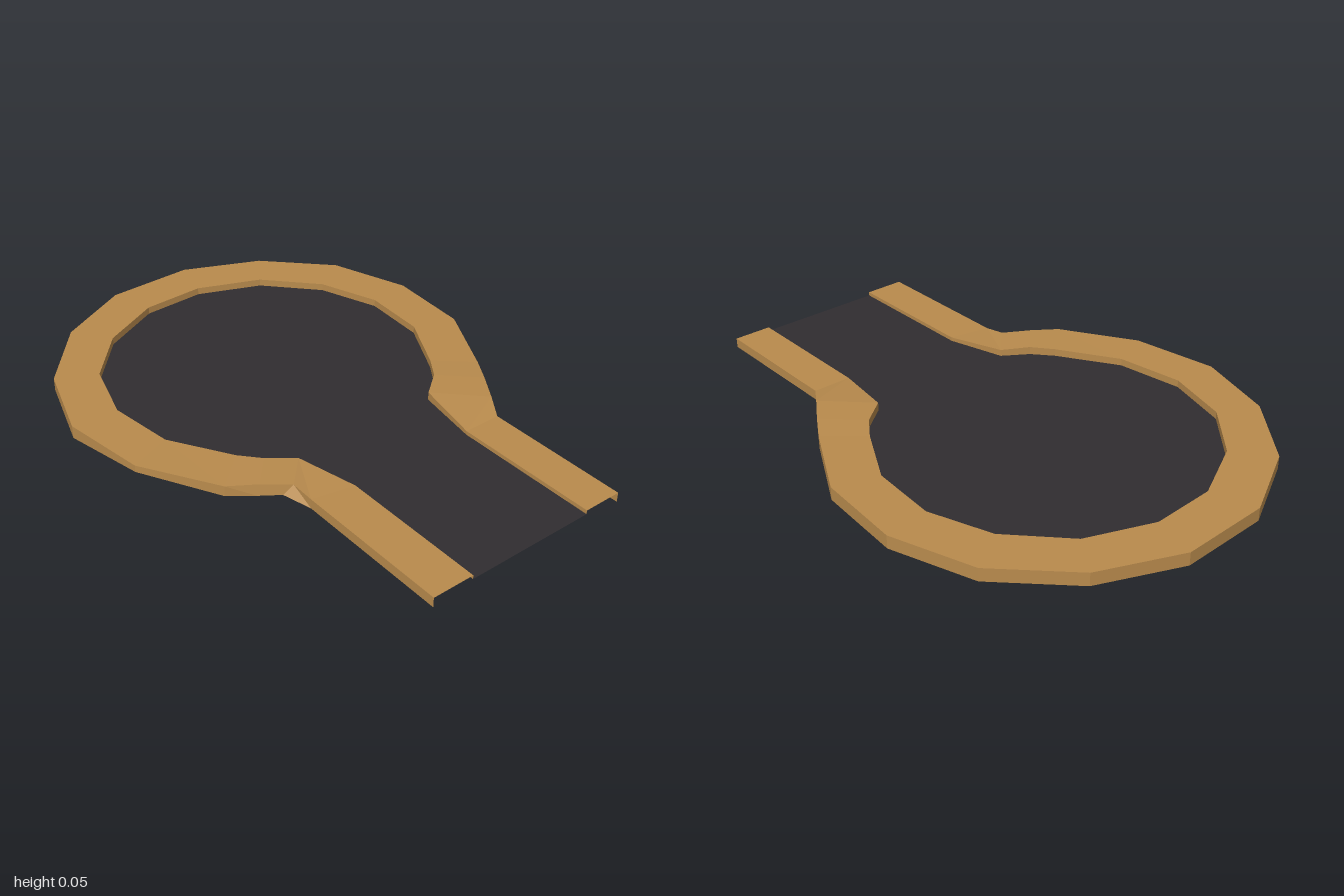
import * as THREE from 'three';

const ROAD_Y = 0.021;

// Stations along the pavement, from the back of the stem round the bulb to the front:
// [outer x, outer z, inner x, inner z, top y]
const STATIONS = [
  [1, -0.41, 1, -0.27, 0.035], [0.48, -0.41, 0.48, -0.27, 0.035],
  [0.4, -0.46, 0.25, -0.31, 0.05], [0.3, -0.525, 0.18, -0.4, 0.05],
  [0.21, -0.58, 0.1, -0.455, 0.047], [-0.06, -0.72, -0.11, -0.565, 0.047],
  [-0.37, -0.74, -0.35, -0.58, 0.047], [-0.66, -0.64, -0.57, -0.5, 0.047],
  [-0.88, -0.42, -0.75, -0.33, 0.047], [-1, -0.14, -0.84, -0.1, 0.047],
  [-0.99, 0.18, -0.83, 0.13, 0.047], [-0.85, 0.45, -0.72, 0.35, 0.047],
  [-0.61, 0.65, -0.54, 0.51, 0.047], [-0.32, 0.74, -0.31, 0.575, 0.047],
  [-0.01, 0.69, -0.07, 0.54, 0.047], [0.25, 0.53, 0.14, 0.41, 0.048],
  [0.31, 0.44, 0.21, 0.35, 0.05], [0.37, 0.355, 0.27, 0.26, 0.045],
  [0.45, 0.35, 0.48, 0.2, 0.035], [1, 0.35, 1, 0.2, 0.035],
];

// Where the foot of the outer wall leaves the ground: station -> [x, y, z]
const RAISED_FEET = {
  14: [-0.01, 0.022, 0.69],
  15: [0.25, 0.01, 0.53],
  16: [0.31, 0.01, 0.45],
  17: [0.355, 0.01, 0.385],
};

// Open strip joining two rows of points
function strip(rowA, rowB) {
  const pos = [];
  for (let i = 0; i < rowA.length - 1; i++) {
    const [a, b, c, d] = [rowA[i], rowA[i + 1], rowB[i], rowB[i + 1]];
    pos.push(...a, ...b, ...c, ...b, ...d, ...c);
  }
  const geo = new THREE.BufferGeometry();
  geo.setAttribute('position', new THREE.Float32BufferAttribute(pos, 3));
  geo.computeVertexNormals();
  return geo;
}

export function createModel() {
  const group = new THREE.Group();
  group.name = 'culDeSac';
  const paving = new THREE.MeshStandardMaterial({ color: 0xb98b4d, flatShading: true, side: THREE.DoubleSide });
  const asphalt = new THREE.MeshStandardMaterial({ color: 0x302d30, flatShading: true, side: THREE.DoubleSide });

  const add = (name, geo, mat) => {
    const mesh = new THREE.Mesh(geo, mat);
    mesh.name = name;
    group.add(mesh);
    return mesh;
  };

  // Pavement: hollow shell of outer wall, top and inner kerb
  const foot = STATIONS.map(([x, z], i) => RAISED_FEET[i] ?? [x, 0, z]);
  const outer = STATIONS.map(([x, z, , , y]) => [x, y, z]);
  const inner = STATIONS.map(([, , x, z, y]) => [x, y, z]);
  const gutter = STATIONS.map(([, , x, z]) => [x, ROAD_Y, z]);
  add('outerWall', strip(foot, outer), paving);
  add('pavementTop', strip(outer, inner), paving);
  add('kerb', strip(inner, gutter), paving);

  // Road sheet filling the space between the kerbs
  const outline = new THREE.Shape(gutter.map(([x, , z]) => new THREE.Vector2(x, -z)));
  const road = new THREE.ShapeGeometry(outline).rotateX(-Math.PI / 2);
  add('roadSurface', road, asphalt).position.y = ROAD_Y;

  return group;
}
